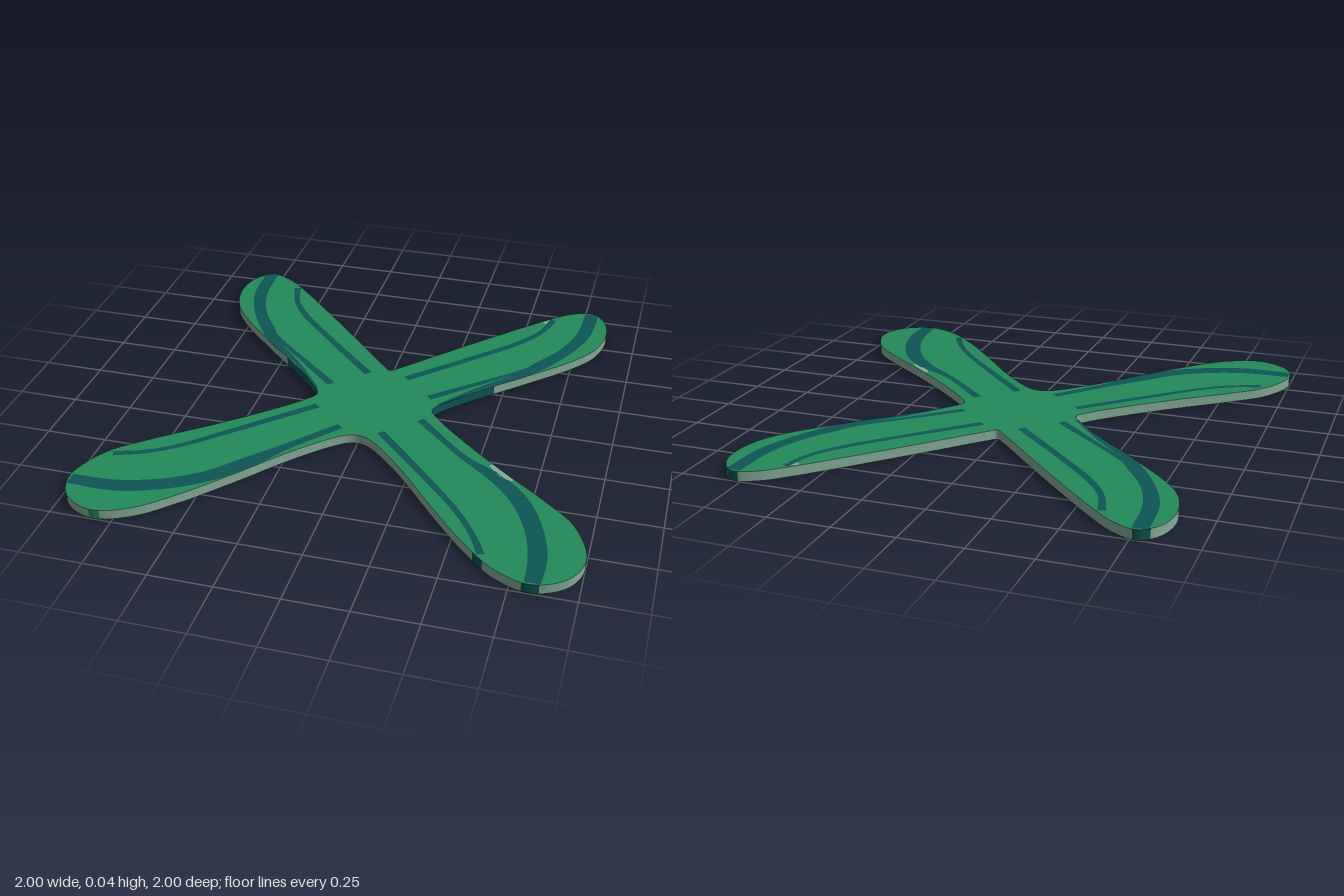
import * as THREE from 'three';

const HEIGHT = 0.042;
const GAP = 0.001; // how far the painted stripes stand off the faces

const mat = (name, color, side = THREE.FrontSide) => {
  const m = new THREE.MeshStandardMaterial({ color, side });
  m.name = name;
  return m;
};

// Right half of the outline as [x, z], from the back notch round to the front notch
const HALF = [
  [0, -0.265], [0.04, -0.3], [0.2, -0.475], [0.4, -0.69], [0.6, -0.895], [0.69, -0.97], [0.78, -1], [0.845, -0.94],
  [0.872, -0.82], [0.84, -0.67], [0.76, -0.55], [0.6, -0.385], [0.4, -0.19], [0.28, -0.06], [0.25, 0],
  [0.29, 0.06], [0.4, 0.17], [0.6, 0.345], [0.8, 0.505], [0.93, 0.63], [1, 0.81], [0.955, 0.935],
  [0.83, 0.998], [0.69, 0.95], [0.55, 0.825], [0.4, 0.655], [0.2, 0.415], [0.05, 0.275], [0, 0.26],
];

function outlinePoints() {
  const left = HALF.slice(1, -1).reverse().map(([x, z]) => [-x, z]);
  const pts = [...HALF, ...left].map(([x, z]) => new THREE.Vector3(x, 0, z));
  return new THREE.CatmullRomCurve3(pts, true).getPoints(360).slice(0, -1).map(p => [p.x, p.z]);
}

// Flat face filling a loop of [x, z], facing up or down
function face(loop, y, up) {
  const shape = new THREE.Shape(loop.map(([x, z]) => new THREE.Vector2(x, up ? -z : z)));
  return new THREE.ShapeGeometry(shape).rotateX(up ? -Math.PI / 2 : Math.PI / 2).translate(0, y, 0);
}

// Loop round a tapered stroke whose path is rows of [x, z, width]
function strokeLoop(path, steps = 32) {
  const curve = new THREE.CatmullRomCurve3(path.map(([x, z, w]) => new THREE.Vector3(x, w, z)));
  const a = [], b = [];
  for (let i = 0; i <= steps; i++) {
    const p = curve.getPoint(i / steps);
    const t = curve.getTangent(i / steps);
    const s = p.y / 2 / Math.hypot(t.x, t.z);
    a.push([p.x - t.z * s, p.z + t.x * s]);
    b.push([p.x + t.z * s, p.z - t.x * s]);
  }
  return [...a, ...b.reverse()];
}

// Upright rim made of the outline segments that pass a test
function rim(points, test) {
  const pos = [];
  points.forEach(([ax, az], i) => {
    const [bx, bz] = points[(i + 1) % points.length];
    if (!test((ax + bx) / 2, (az + bz) / 2)) return;
    const y0 = GAP, y1 = HEIGHT - GAP;
    pos.push(bx, y0, bz, ax, y0, az, ax, y1, az, bx, y0, bz, ax, y1, az, bx, y1, bz);
  });
  const g = new THREE.BufferGeometry();
  g.setAttribute('position', new THREE.Float32BufferAttribute(pos, 3));
  g.computeVertexNormals();
  return g;
}

// Stripes on the two back arms, mirrored left to right
const BACK_STRIPES = {
  backInnerStripe: [[0.085, -0.215, 0.035], [0.35, -0.48, 0.03], [0.5, -0.64, 0.03], [0.58, -0.76, 0.025], [0.62, -0.89, 0.03]],
  backOuterStripe: [[0.265, -0.045, 0.012], [0.4, -0.21, 0.02], [0.55, -0.36, 0.04], [0.62, -0.46, 0.06],
    [0.71, -0.61, 0.055], [0.77, -0.78, 0.06], [0.785, -0.99, 0.06]],
  backShortStripe: [[0.215, -0.09, 0.035], [0.4, -0.26, 0.025], [0.53, -0.38, 0.02], [0.6, -0.46, 0.01]],
};

// Stripes on the two front arms
const FRONT_STRIPES = {
  leftFrontWideStripe: [[0.22, 0.085, 0.035], [0.45, 0.305, 0.03], [0.6, 0.41, 0.06], [0.71, 0.53, 0.07],
    [0.79, 0.69, 0.07], [0.83, 0.85, 0.07], [0.835, 0.99, 0.06]],
  leftFrontThinStripe: [[0.085, 0.215, 0.035], [0.3, 0.44, 0.03], [0.49, 0.65, 0.025], [0.58, 0.78, 0.025], [0.63, 0.88, 0.03]],
  rightFrontWideStripe: [[-0.085, 0.215, 0.035], [-0.25, 0.41, 0.04], [-0.36, 0.55, 0.07], [-0.48, 0.68, 0.07],
    [-0.62, 0.77, 0.07], [-0.8, 0.83, 0.07], [-0.99, 0.835, 0.06]],
  rightFrontThinStripe: [[-0.22, 0.09, 0.035], [-0.5, 0.36, 0.03], [-0.66, 0.51, 0.025], [-0.78, 0.59, 0.025], [-0.9, 0.635, 0.03]],
};

// Pale worn spots where the rim colour shows on the faces
const WORN_SPOTS = {
  wornSpotFront: [[0.56, 0.325, 0.015], [0.61, 0.375, 0.03], [0.66, 0.41, 0.015]],
  wornSpotBack: [[0.58, -0.855, 0.02], [0.62, -0.875, 0.04]],
};

export function createModel() {
  const green = mat('blade green', 0x238a5a);
  const teal = mat('stripe teal', 0x0e5654);
  const pale = mat('rim grey green', 0x84ab98);
  const model = new THREE.Group();
  model.name = 'fourBladePropeller';
  const add = (name, geometry, material) => {
    const mesh = new THREE.Mesh(geometry, material);
    mesh.name = name;
    model.add(mesh);
  };
  const addPaint = (name, path, material) => {
    const loop = strokeLoop(path);
    add(name + 'Top', face(loop, HEIGHT, true), material);
    add(name + 'Bottom', face(loop, 0, false), material);
  };

  // Blades and hub as one flat piece
  const outline = outlinePoints();
  add('bladesTop', face(outline, HEIGHT - GAP, true), green);
  add('bladesBottom', face(outline, GAP, false), green);

  // Rim, teal where stripes run over the edge
  const striped = (x, z) =>
    (z < 0 && z > -0.24 && Math.abs(x) > 0.24 && Math.abs(x) < 0.5) ||
    (z > 0.9 && x > 0.79 && x < 0.87) || (z > 0.84 && x > 0.6 && x < 0.64) ||
    (x < -0.95 && z > 0.8 && z < 0.87) ||
    (z < -0.94 && Math.abs(x) > 0.755 && Math.abs(x) < 0.815);
  const greenSpot = (x, z) => z > 0.9 && x > -0.84 && x < -0.79;
  add('rim', rim(outline, (x, z) => !striped(x, z) && !greenSpot(x, z)), pale);
  add('rimStripes', rim(outline, striped), teal);
  add('rimGreenSpot', rim(outline, greenSpot), green);

  // Stripes on both faces
  for (const [name, path] of Object.entries(BACK_STRIPES)) {
    addPaint(name + 'Left', path, teal);
    addPaint(name + 'Right', path.map(([x, z, w]) => [-x, z, w]), teal);
  }
  for (const [name, path] of Object.entries(FRONT_STRIPES)) addPaint(name, path, teal);
  for (const [name, path] of Object.entries(WORN_SPOTS)) addPaint(name, path, pale);
  return model;
}
